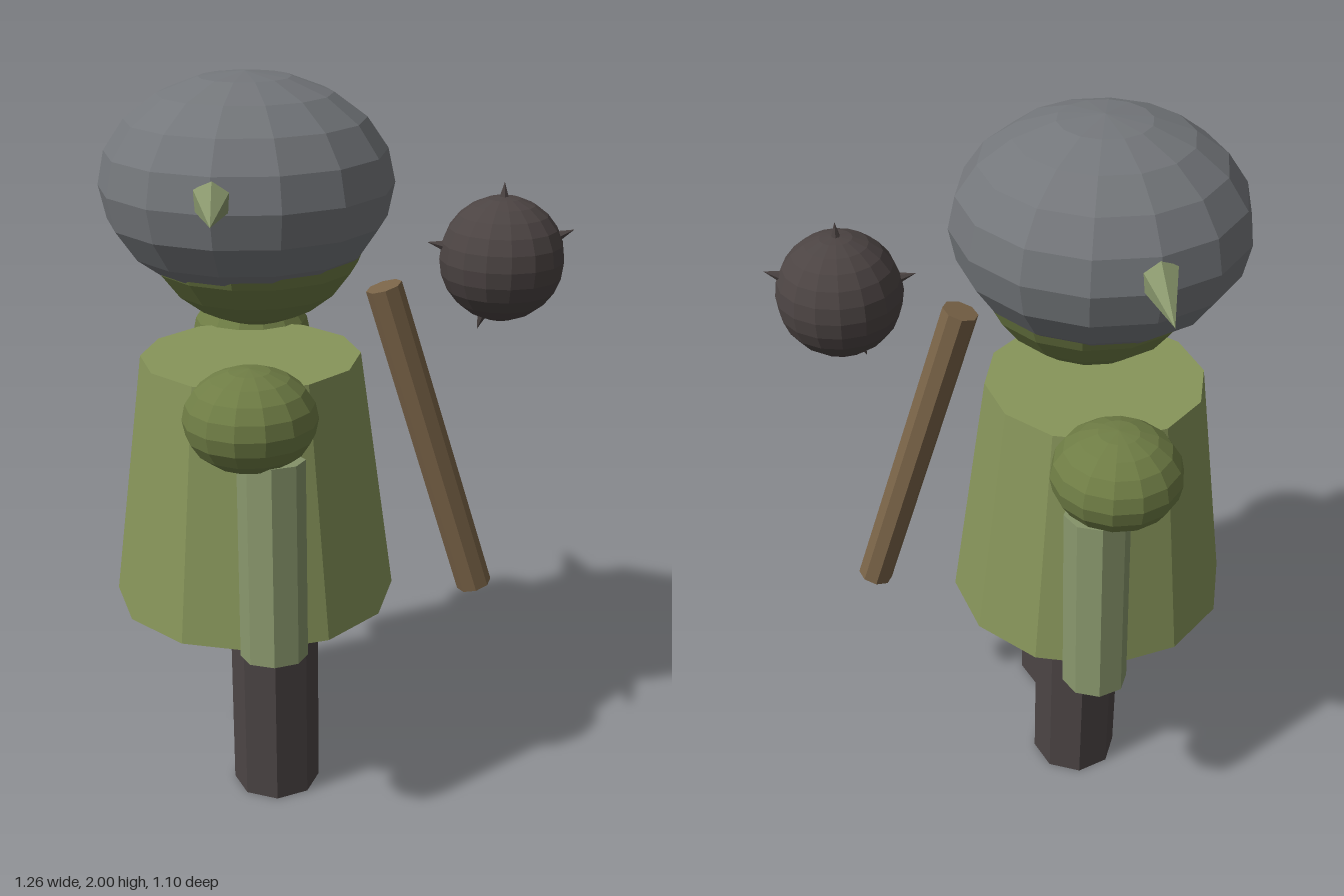
import * as THREE from 'three';

const flat = (color) => new THREE.MeshStandardMaterial({ color, flatShading: true });
const MAT = {
  steel: flat(0x74777b), skin: flat(0x6f7d45), sleeve: flat(0x87956b),
  tunic: flat(0x87955a), dark: flat(0x4c4545), wood: flat(0x7a6448), iron: flat(0x4c4443),
};

export function createModel() {
  const root = new THREE.Group();

  const add = (name, geometry, material, x, y, z) => {
    const mesh = new THREE.Mesh(geometry, material);
    mesh.name = name;
    mesh.position.set(x, y, z);
    root.add(mesh);
    return mesh;
  };

  // Squashed low-poly ball
  const ball = (name, r, halfHeight, w, h, material, x, y, z) =>
    add(name, new THREE.SphereGeometry(r, w, h).scale(1, halfHeight / r, 1), material, x, y, z);

  // Tapered rod between two points
  const rod = (name, from, to, rFrom, rTo, sides, material) => {
    const a = new THREE.Vector3(...from), b = new THREE.Vector3(...to);
    const dir = b.clone().sub(a);
    const mid = a.add(b).multiplyScalar(0.5);
    const mesh = add(name, new THREE.CylinderGeometry(rTo, rFrom, dir.length(), sides), material, mid.x, mid.y, mid.z);
    mesh.quaternion.setFromUnitVectors(new THREE.Vector3(0, 1, 0), dir.normalize());
    return mesh;
  };

  // Head, helmet and tunic; the figure looks along +x
  ball('head', 0.314, 0.314, 14, 12, MAT.skin, -0.22, 1.65, 0);
  ball('helmet', 0.39, 0.29, 14, 10, MAT.steel, -0.24, 1.71, 0);
  add('tunic', new THREE.CylinderGeometry(0.302, 0.396, 0.703, 12), MAT.tunic, -0.24, 0.887, 0);

  // Paired parts on both sides
  for (const s of [1, -1]) {
    rod('horn', [-0.32, 1.742, s * 0.35], [-0.32, 1.722, s * 0.55], 0.052, 0, 6, MAT.sleeve);
    ball('shoulder', 0.173, 0.134, 14, 10, MAT.skin, -0.24, 1.19, s * 0.375);
    rod('arm', [-0.19, 0.563, s * 0.463], [-0.19, 1.087, s * 0.4], 0.088, 0.088, 8, MAT.sleeve);
    add('leg', new THREE.CylinderGeometry(0.122, 0.122, 0.54, 8), MAT.dark, -0.188, 0.27, s * 0.175);
  }

  // Mace: handle with a floating spiked ball
  rod('maceHandle', [0.39, 0.548, 0.05], [0.119, 1.439, 0.05], 0.05, 0.05, 8, MAT.wood);
  const c = [0.432, 1.513, 0.052];
  ball('maceBall', 0.167, 0.167, 16, 12, MAT.iron, ...c);
  for (const deg of [90, 167, 253, 21.5]) {
    const a = THREE.MathUtils.degToRad(deg);
    const at = (r) => [c[0] + r * Math.cos(a), c[1] + r * Math.sin(a), c[2]];
    rod('maceSpike', at(0.13), at(0.205), 0.023, 0, 6, MAT.iron);
  }
  return root;
}
